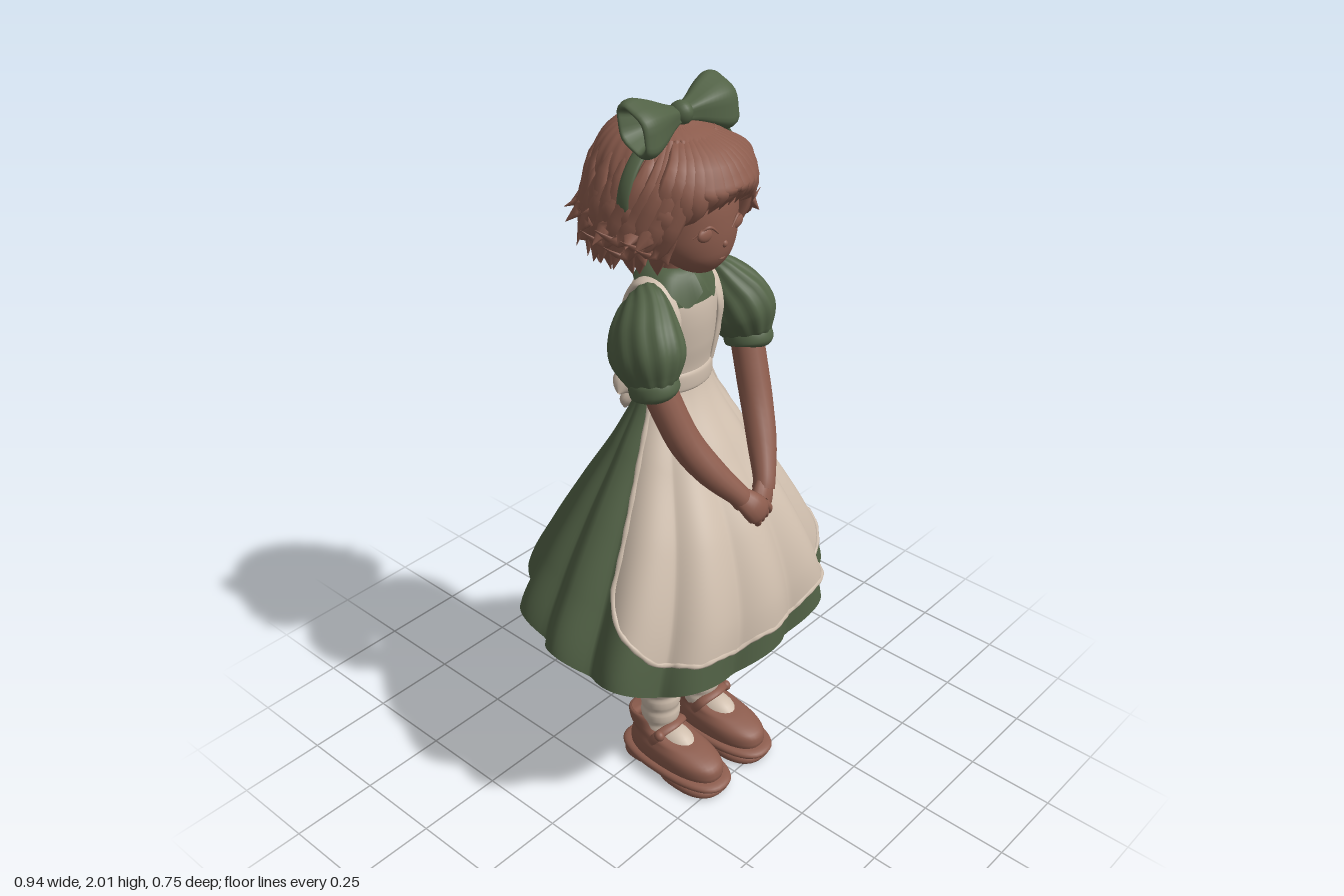
import * as THREE from 'three';
import { ParametricGeometry } from 'three/addons/geometries/ParametricGeometry.js';

const paint = (name, color) => {
  const m = new THREE.MeshStandardMaterial({ color, side: THREE.DoubleSide });
  m.name = name;
  return m;
};
const V = (x, y, z) => new THREE.Vector3(x, y, z);

// Smooth interpolation through evenly spaced rows of numbers
function sample(rows, t) {
  const n = rows.length - 1, f = Math.min(Math.max(t, 0), 1) * n;
  const i = Math.min(Math.floor(f), n - 1), s = f - i;
  const a = rows[Math.max(i - 1, 0)], b = rows[i], c = rows[i + 1], d = rows[Math.min(i + 2, n)];
  return b.map((_, k) => b[k] + 0.5 * s * (c[k] - a[k] + s * (2 * a[k] - 5 * b[k] + 4 * c[k] - d[k]
    + s * (3 * (b[k] - c[k]) + d[k] - a[k]))));
}

// Upright body from rows of [y, half width, half depth, centre z], bottom to top; power < 1 squares it
function body(rows, { a0 = -Math.PI, a1 = Math.PI, v0 = 0, v1 = 1, off = 0, power = 1 } = {}) {
  const bend = (k) => Math.sign(k) * Math.abs(k) ** power;
  return new ParametricGeometry((u, v, p) => {
    const a = a0 + (a1 - a0) * u, [y, rx, rz, cz] = sample(rows, v0 + (v1 - v0) * v);
    p.set((rx + off) * bend(Math.sin(a)), y, cz + (rz + off) * bend(Math.cos(a)));
  }, 40, 24);
}

// Swept limb from rows of [x, y, z, radius]; ref is the direction of the squashed axis
function limb(rows, { ref = V(0, 0, 1), squash = 1, flute = 0, nu = 16, nv = 20 } = {}) {
  return new ParametricGeometry((u, v, p) => {
    const [x, y, z, r] = sample(rows, v), lo = sample(rows, v - 1e-3), hi = sample(rows, v + 1e-3);
    const c = V(x, y, z), T = V(hi[0] - lo[0], hi[1] - lo[1], hi[2] - lo[2]).normalize();
    const N = (typeof ref === 'function' ? ref(c) : ref).clone();
    N.addScaledVector(T, -N.dot(T)).normalize();
    const B = T.clone().cross(N), a = u * Math.PI * 2, R = Math.max(r, 0.001) * (1 + flute * Math.cos(12 * a));
    p.copy(c).addScaledVector(N, R * squash * Math.cos(a)).addScaledVector(B, R * Math.sin(a));
  }, nu, nv);
}

// Skirt surface: angle from the front, t from waist to hem; the hem lifts on each pleat
const skirtRows = [[0.1, 0.07, 0.06], [0.19, 0.17, 0.12], [0.29, 0.275, 0.21], [0.38, 0.335, 0.295], [0.45, 0.345, 0.365]];
function skirtAt(a, t, off = 0) {
  const fold = Math.sqrt(Math.cos(6 * a) ** 2 + 0.015), front = Math.cos(a) > 0;
  const ring = (k) => {
    const [rx, zf, zb] = sample(skirtRows, k);
    const s = (1 + 0.11 * k * (fold - 0.65)) * (front ? 1 + 0.09 * k * Math.sin(2 * a) ** 2 : 1);
    return [(rx * s + off) * Math.sin(a), 0.005 + ((front ? zf : zb) * s + off) * Math.cos(a)];
  };
  const hz = ring(1)[1], hem = 0.553 + 0.04 * fold - (hz > 0 ? 0.22 : 0.08) * hz, [x, z] = ring(t);
  return V(x, 1.25 + t * (hem - 1.25), z);
}
const apronHem = (a) => 0.88 - 0.2 * (Math.abs(a) / 1.25) ** 6 - 0.012 * Math.abs(Math.sin(11 * a));

// Hair surface: angle from the front, t from nape to crown
const hairRows = [[1.63, 0.05, 0.05, -0.03], [1.6, 0.14, 0.13, -0.045], [1.66, 0.18, 0.17, -0.03], [1.72, 0.193, 0.192, -0.015],
  [1.78, 0.19, 0.203, 0], [1.84, 0.17, 0.19, -0.008], [1.89, 0.127, 0.152, -0.018], [1.92, 0.07, 0.09, -0.03], [1.93, 0.003, 0.003, -0.03]];
function hairAt(a, t, off = 0) {
  const [y, rx, rz, cz] = sample(hairRows, t);
  return V((rx + off) * Math.sin(a), y, cz + (rz + off) * Math.cos(a));
}
function hairCap(a0, a1, low, t1, lift) {
  return new ParametricGeometry((u, v, p) => {
    const a = a0 + (a1 - a0) * u, t0 = low + lift * Math.max(0, Math.cos(a)) ** 4, t = t0 + (t1 - t0) * v;
    p.copy(hairAt(a, t, 0.004 * Math.sin(30 * a + 3 * t) * Math.max(0, 0.95 - t)));
  }, 150, 20);
}

export function createModel() {
  const model = new THREE.Group();
  const green = paint('green cloth', 0x526246), cream = paint('cream cloth', 0xd0bfae), brown = paint('warm brown', 0x8c5c4d);
  let seed = 7;
  const rnd = () => (seed = (seed * 16807) % 2147483647) / 2147483647;
  const add = (name, geo, mat, parent = model) => {
    const m = new THREE.Mesh(geo, mat);
    m.name = name;
    parent.add(m);
    return m;
  };
  const ball = (name, mat, x, y, z, sx, sy, sz, parent) => {
    const m = add(name, new THREE.SphereGeometry(1, 24, 16), mat, parent);
    m.position.set(x, y, z);
    m.scale.set(sx, sy, sz);
  };

  // Dress: bodice, skirt and its shallow lining
  const torso = [[1.22, 0.1, 0.07, 0.015], [1.29, 0.1, 0.073, 0.012], [1.36, 0.11, 0.086, 0.01], [1.43, 0.118, 0.094, 0.008],
    [1.485, 0.118, 0.09, 0.008], [1.53, 0.095, 0.072, 0.01], [1.55, 0.05, 0.045, 0.01]];
  add('bodice', body(torso), green);
  add('skirt', new ParametricGeometry((u, v, p) => p.copy(skirtAt((u * 2 - 1) * Math.PI, 1 - v)), 180, 32), green);
  add('skirtLining', new ParametricGeometry((u, v, p) => {
    const k = 1 - 0.98 * v, h = skirtAt((u * 2 - 1) * Math.PI, 1);
    p.set(h.x * k, h.y * k + 0.57 * (1 - k) + 0.06 * (1 - k ** 4), h.z * k);
  }, 180, 12), green);

  // Apron: skirt panel with edging, waistband, bib, back panel
  add('apron', new ParametricGeometry((u, v, p) => {
    const a = (u * 2 - 1) * 1.25;
    p.copy(skirtAt(a, apronHem(a) * (1 - v), 0.013));
  }, 120, 30), cream);
  const edge = [];
  for (let i = 0; i <= 80; i++) {
    const k = i / 40 - 1, a = 1.25 * Math.max(-1, Math.min(1, k * 1.5));
    const t = apronHem(a) * (Math.abs(k) > 2 / 3 ? 1 - (Math.abs(k) - 2 / 3) * 3 : 1);
    edge.push([...skirtAt(a, t, 0.013).toArray(), 0.006 + 0.002 * (i % 2)]);
  }
  add('apronEdging', limb(edge, { ref: (c) => V(c.x, 0.1, c.z), nu: 6, nv: 160 }), cream);
  add('waistband', body([[1.235, 0.106, 0.077, 0.014], [1.245, 0.112, 0.083, 0.014], [1.28, 0.112, 0.084, 0.013], [1.295, 0.104, 0.077, 0.012]]), cream);
  add('bib', body(torso, { a0: -0.8, a1: 0.8, v0: 0.15, v1: 0.66, off: 0.008 }), cream);
  add('backPanel', body(torso, { a0: Math.PI - 0.85, a1: Math.PI + 0.85, v0: 0.15, v1: 0.74, off: 0.008 }), cream);
  ball('backBowKnot', cream, 0, 1.225, -0.083, 0.024, 0.028, 0.022);

  // Head, neck and face
  add('neck', body([[1.5, 0.05, 0.045, 0.01], [1.57, 0.045, 0.043, 0.015], [1.64, 0.05, 0.045, 0.03]]), brown);
  add('head', body([[1.565, 0.003, 0.003, 0.1], [1.575, 0.045, 0.045, 0.09], [1.61, 0.09, 0.085, 0.078], [1.65, 0.118, 0.115, 0.058],
    [1.7, 0.13, 0.132, 0.043], [1.76, 0.135, 0.135, 0.035], [1.83, 0.125, 0.13, 0.02], [1.88, 0.08, 0.09, 0]]), brown);
  ball('nose', brown, 0, 1.656, 0.17, 0.009, 0.01, 0.009);
  add('mouth', limb([[-0.028, 1.622, 0.155, 0.002], [0, 1.616, 0.164, 0.004], [0.028, 1.622, 0.155, 0.002]], { nu: 8 }), brown);

  // Hair: crown, back volume, uneven tapered locks, parted fringe, side flicks
  add('hairCrown', hairCap(-Math.PI, Math.PI, 0.5, 1, 0.06), brown);
  add('hairBack', hairCap(1, Math.PI * 2 - 1, 0, 0.52, 0), brown);
  const lock = (name, pts, radii) => add(name, limb(pts.map((p, i) => [p.x, p.y, p.z, radii[i]]),
    { ref: (c) => V(c.x, (c.y - 1.74) * 0.5, c.z + 0.01), squash: 0.45, nu: 8, nv: 12 }), brown);
  [[0.29, 0.04, 15, 0], [0.2, 0.03, 19, -0.012], [0.15, 0.006, 21, -0.027]].forEach(([end, flick, count, drop], k) => {
    for (let i = 0; i < count; i++) {
      const a = 0.9 + (Math.PI * 2 - 1.8) * (i / (count - 1)), sway = (rnd() - 0.5) * 0.45;
      const tip = hairAt(a + sway, end + (rnd() - 0.5) * 0.06, flick + rnd() * 0.02);
      tip.y += drop;
      lock('hairLock', [hairAt(a, 0.8, -0.006), hairAt(a, 0.6 - 0.04 * k, -0.003), hairAt(a + sway * 0.2, 0.38, 0.006),
        hairAt(a + sway * 0.6, end + 0.06, 0.01 + flick * 0.25), tip], [0.006, 0.022, 0.034, 0.024, 0.001]);
    }
  });
  for (let i = -7; i <= 7; i++) {
    const a = i * 0.135, end = 0.5 - 0.27 * a * a + 0.04 * (i % 2) ** 2 * (rnd() - 0.3), curl = Math.abs(a) > 0.7 ? 0.012 : -0.016;
    lock('fringeLock', [hairAt(a * 0.5, 0.88, -0.004), hairAt(a * 0.8, 0.7, 0.002), hairAt(a * 0.95, 0.57, 0.006),
      hairAt(a * 1.05, end + 0.04, 0.001), hairAt(a * 1.2, end - 0.05, curl)], [0.006, 0.022, 0.027, 0.021, 0.001]);
  }
  for (let i = 0; i < 10; i++) {
    const s = i % 2 ? 1 : -1, a = 0.75 + 0.16 * Math.floor(i / 2) + 0.08 * rnd(), end = 0.25 + 0.12 * rnd();
    lock('sideFlick', [hairAt(s * a * 0.7, 0.8, 0), hairAt(s * a * 0.85, 0.6, 0.006), hairAt(s * a, 0.4, 0.012),
      hairAt(s * (a + 0.1), end - 0.03, 0.03), hairAt(s * (a + 0.3), end + 0.04, 0.062)], [0.006, 0.02, 0.024, 0.016, 0.001]);
  }

  // Hairband and hair bow
  const band = [];
  for (let i = 0; i <= 16; i++) {
    const a = -1.75 + 3.5 * i / 16;
    band.push([0.198 * Math.sin(a), 1.765 + 0.165 * Math.cos(a), 0.03, 0.02]);
  }
  add('hairband', limb(band, { ref: (c) => V(c.x, c.y - 1.76, 0), squash: 0.4, nv: 40 }), green);
  const bow = new THREE.Group();
  bow.name = 'hairBow';
  bow.position.set(0, 1.94, 0.028);
  bow.rotation.x = -0.65;
  model.add(bow);
  const loop = [[0.01, 0.022, 0.016], [0.045, 0.035, 0.03], [0.09, 0.058, 0.042], [0.13, 0.073, 0.046], [0.155, 0.069, 0.042], [0.163, 0.058, 0.033],
    [0.15, 0.05, 0.026], [0.1, 0.03, 0.014], [0.06, 0.004, 0.003]];
  const loopGeo = new ParametricGeometry((u, v, p) => {
    const [x, h, d] = sample(loop, v), a = u * Math.PI * 2;
    p.set(x, h * Math.cos(a), d * Math.sin(a) * (1 + 0.12 * Math.cos(4 * a)));
  }, 28, 28);
  for (const s of [1, -1]) add('bowLoop', loopGeo, green, bow).scale.x = s;
  ball('bowKnot', green, 0, 0, 0.004, 0.026, 0.03, 0.034, bow);

  // Everything paired: left side built once, then mirrored
  for (const s of [1, -1]) {
    const side = new THREE.Group();
    side.name = s > 0 ? 'leftSide' : 'rightSide';
    side.scale.x = s;
    model.add(side);
    const put = (name, geo, mat) => add(name, geo, mat, side);

    // Collar flap, pointed at the front
    put('collar', new ParametricGeometry((u, v, p) => {
      const a = 0.08 + u * (Math.PI - 0.08), drop = 0.04 + 0.045 * Math.exp(-(((a - 0.5) / 0.35) ** 2));
      const k = 1 - v, r = 0.05 + 0.052 * Math.sqrt(k);
      p.set(r * Math.sin(a), 1.563 - drop * k, 0.012 + (r - 0.004 * (1 - k)) * Math.cos(a));
    }, 30, 8), green);

    // Sleeve, cuff, shoulder strap
    put('puffSleeve', limb([[0.09, 1.505, 0.01, 0.035], [0.125, 1.49, 0.03, 0.072], [0.157, 1.44, 0.055, 0.102], [0.174, 1.385, 0.08, 0.108],
      [0.182, 1.335, 0.1, 0.078], [0.182, 1.32, 0.105, 0.056]], { ref: V(1, 0, 0), squash: 0.74, flute: 0.025, nu: 72 }), green);
    put('cuff', limb([[0.182, 1.34, 0.1, 0.055], [0.182, 1.33, 0.103, 0.066], [0.18, 1.305, 0.112, 0.066], [0.179, 1.297, 0.114, 0.045]],
      { ref: V(1, 0, 0), squash: 0.9, nu: 28 }), green);
    put('strap', limb([[0.08, 1.28, 0.068, 0.014], [0.09, 1.38, 0.082, 0.02], [0.09, 1.46, 0.086, 0.024], [0.092, 1.527, 0.045, 0.024],
      [0.092, 1.527, -0.02, 0.024], [0.09, 1.46, -0.066, 0.022], [0.09, 1.38, -0.062, 0.018], [0.08, 1.28, -0.047, 0.012]],
    { ref: (c) => V(c.x * 0.3, c.y - 1.42, c.z - 0.01), squash: 0.4, nv: 40 }), cream);

    // Arm and clasped hand
    put('arm', limb([[0.178, 1.36, 0.095, 0.044], [0.16, 1.25, 0.137, 0.044], [0.138, 1.16, 0.178, 0.043], [0.1, 1.08, 0.228, 0.039],
      [0.055, 1.015, 0.275, 0.03], [0.04, 0.99, 0.285, 0.03]]), brown);
    const dz = s > 0 ? 0 : 0.018;
    put('hand', limb([[0.055, 1.015, 0.275, 0.024], [0.034, 0.985, 0.288 + dz, 0.036], [0.012, 0.955, 0.295 + dz, 0.036],
      [0.0, 0.938, 0.295 + dz, 0.012]], { squash: 0.65 }), brown);
    for (let f = 0; f < 4; f++) {
      const x = 0.036 - f * 0.014, y = 0.945 + f * 0.006;
      put('finger', limb([[x, y + 0.02, 0.298 + dz, 0.009], [x - 0.012, y - 0.004, 0.304 + dz, 0.01], [x - 0.022, y - 0.026, 0.294 + dz, 0.008],
        [x - 0.024, y - 0.032, 0.29 + dz, 0.001]], { nu: 8, nv: 10 }), brown);
    }

    // Closed eye with lid
    ball('eye', brown, 0.053, 1.692, 0.158, 0.028, 0.019, 0.011, side);
    put('eyelid', limb([[0.024, 1.69, 0.173, 0.002], [0.053, 1.712, 0.167, 0.004], [0.086, 1.688, 0.146, 0.002]], { nu: 8 }), brown);

    // Back bow loop and tail
    put('backBowLoop', limb([[0, 1.225, -0.075, 0.014], [0.04, 1.225, -0.093, 0.036], [0.08, 1.208, -0.095, 0.04], [0.105, 1.19, -0.088, 0.004]], { squash: 0.65 }), cream);
    put('backBowTail', limb([[0, 1.22, -0.08, 0.012], [0.022, 1.18, -0.098, 0.028], [0.036, 1.14, -0.115, 0.034], [0.042, 1.108, -0.125, 0.004]], { squash: 0.5 }), cream);

    // Leg and wrinkled sock
    put('leg', limb([[0.093, 0.7, 0.07, 0.088], [0.093, 0.6, 0.066, 0.082], [0.094, 0.5, 0.058, 0.072], [0.094, 0.4, 0.045, 0.068],
      [0.09, 0.3, 0.037, 0.053], [0.088, 0.2, 0.035, 0.045]], { nu: 24 }), brown);
    const sock = [];
    for (let i = 0; i <= 10; i++) sock.push([0.089, 0.1 + 0.0175 * i, 0.04, 0.05 + 0.008 * (i / 10) + (i % 3 ? 0.003 : 0)]);
    sock.push([0.089, 0.278, 0.04, 0.046]);
    put('sock', limb(sock, { nu: 24, nv: 44 }), cream);
    ball('sockFoot', cream, 0.092, 0.09, 0.09, 0.05, 0.055, 0.085, side);

    // Strapped shoe with sole, heel and button
    const shoe = new THREE.Group();
    shoe.name = 'shoe';
    shoe.position.x = 0.094;
    side.add(shoe);
    add('shoeUpper', body([[0.03, 0.068, 0.156, 0.105], [0.06, 0.073, 0.162, 0.107], [0.088, 0.07, 0.153, 0.103], [0.11, 0.061, 0.122, 0.076],
      [0.13, 0.056, 0.074, 0.02], [0.16, 0.053, 0.06, 0.0], [0.168, 0.047, 0.053, 0.002]], { power: 0.85 }), brown, shoe);
    for (const [name, y0, y1, z, rx, rz] of [['sole', 0.02, 0.045, 0.106, 0.076, 0.167], ['solePad', 0, 0.03, 0.172, 0.073, 0.1], ['heel', 0, 0.03, 0, 0.062, 0.06]])
      add(name, body([[y0, 0.001, 0.001, z], [y0, rx, rz, z], [y1, rx, rz, z], [y1, 0.001, 0.001, z]], { power: 0.8 }), brown, shoe);
    add('shoeStrap', limb([[-0.062, 0.1, 0.06, 0.014], [-0.05, 0.14, 0.085, 0.014], [0, 0.155, 0.1, 0.014], [0.05, 0.14, 0.085, 0.014], [0.062, 0.1, 0.06, 0.014]],
      { ref: (c) => V(c.x, c.y - 0.08, 0.02), squash: 0.5 }), brown, shoe);
    ball('shoeButton', brown, 0.054, 0.138, 0.088, 0.014, 0.016, 0.016, shoe);
  }
  return model;
}
